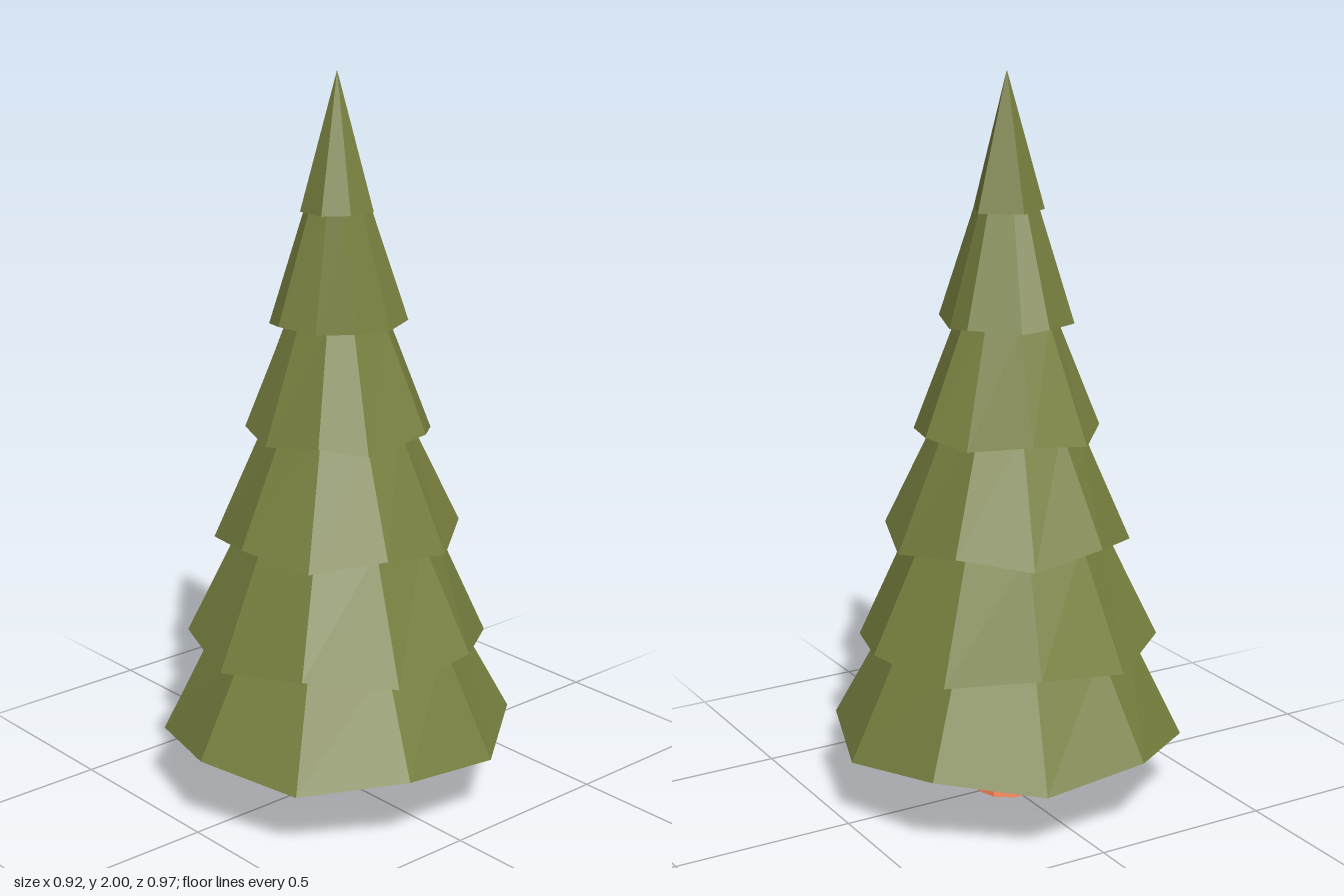
import * as THREE from 'three';

const green = new THREE.MeshStandardMaterial({ color: 0x78803f, flatShading: true });
const bark = new THREE.MeshStandardMaterial({ color: 0xee7f55, flatShading: true });

// Regular ten-sided rim as [x, z] points, starting at the front
const regular = (r) => Array.from({ length: 10 }, (_, i) => {
  const a = (i * Math.PI) / 5;
  return [r * Math.sin(a), r * Math.cos(a)];
});

// Uneven rims of the upper tiers
const rim4 = [[0, 0.25], [0.155, 0.2], [0.242, 0.103], [0.242, -0.1], [0.15, -0.205],
  [-0.024, -0.263], [-0.144, -0.206], [-0.255, -0.072], [-0.253, 0.095], [-0.134, 0.21]];
const rim5 = [[-0.03, 0.178], [0.075, 0.14], [0.162, 0.082], [0.165, -0.04], [0.137, -0.131],
  [0, -0.175], [-0.08, -0.167], [-0.162, -0.05], [-0.185, 0.02], [-0.108, 0.145]];
const rim6 = [[-0.044, 0.09], [0.044, 0.093], [0.088, 0.03], [0.088, -0.05],
  [-0.026, -0.103], [-0.1, -0.007]];

// Skirt of branches: zigzag rim, sides narrowing to the top, closed underside
function tier({ rim, low, high, top, scale }) {
  const n = rim.length;
  const lower = rim.map(([x, z], i) => [x, i % 2 ? high : low, z]);
  const upper = rim.map(([x, z]) => [x * scale, top, z * scale]);
  const centre = [0, (low + high) / 2, 0];
  const pos = [];
  for (let i = 0; i < n; i++) {
    const j = (i + 1) % n;
    pos.push(...lower[i], ...lower[j], ...upper[j]);
    if (scale > 0) pos.push(...lower[i], ...upper[j], ...upper[i]);
    pos.push(...centre, ...lower[j], ...lower[i]);
  }
  const g = new THREE.BufferGeometry();
  g.setAttribute('position', new THREE.Float32BufferAttribute(pos, 3));
  g.computeVertexNormals();
  return g;
}

export function createModel() {
  const tree = new THREE.Group();
  tree.name = 'pineTree';

  // Tapered trunk
  const trunk = new THREE.Mesh(new THREE.CylinderGeometry(0.038, 0.092, 0.2, 10), bark);
  trunk.name = 'trunk';
  trunk.position.y = 0.1;
  tree.add(trunk);

  // Six tiers of foliage, bottom to top; low is the height of the first rim corner
  const tiers = [
    { rim: regular(0.485), low: 0.205, high: 0.175, top: 0.48, scale: 0.69 },
    { rim: regular(0.413), low: 0.44, high: 0.47, top: 0.77, scale: 0.64 },
    { rim: regular(0.336), low: 0.77, high: 0.74, top: 1.07, scale: 0.57 },
    { rim: rim4, low: 1.037, high: 1.057, top: 1.35, scale: 0.53 },
    { rim: rim5, low: 1.345, high: 1.335, top: 1.645, scale: 0.47 },
    { rim: rim6, low: 1.637, high: 1.637, top: 2, scale: 0 },
  ];
  tiers.forEach((t, i) => {
    const mesh = new THREE.Mesh(tier(t), green);
    mesh.name = `foliageTier${i + 1}`;
    tree.add(mesh);
  });
  return tree;
}
